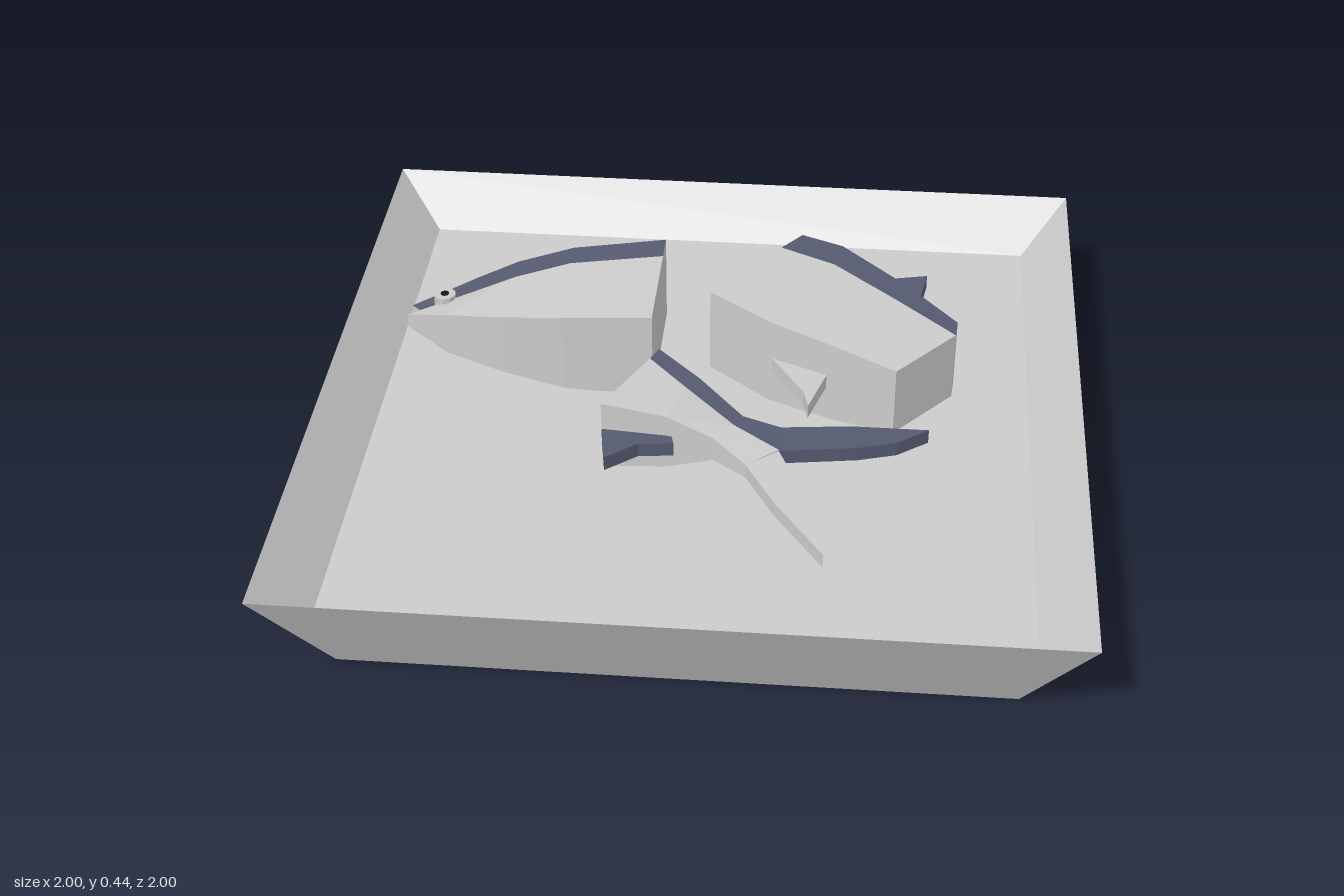
import * as THREE from 'three';

const MID = 0.3; // height of the fish's plane of symmetry
const material = (color) => new THREE.MeshStandardMaterial({ color, flatShading: true, side: THREE.DoubleSide });
const pale = material(0xcccccc);
const dark = material(0x555a70);
const black = material(0x16161a);

function mesh(name, geometry, mat) {
  const m = new THREE.Mesh(geometry, mat);
  m.name = name;
  return m;
}

// Geometry from a list of quads, each four [x, y, z] corners
function quads(list) {
  const pos = list.flatMap(([a, b, c, d]) => [a, b, c, a, c, d]).flat();
  const g = new THREE.BufferGeometry();
  g.setAttribute('position', new THREE.Float32BufferAttribute(pos, 3));
  g.computeVertexNormals();
  return g;
}

// Fish chunk lofted through stations [half thickness, back xz, stripe xz, belly xz],
// mirrored above and below the mid plane
function chunk(name, stations) {
  const rings = stations.map(([h, back, stripe, belly]) => {
    const at = ([x, z], s) => [x, MID + s * h, z];
    return [at(belly, -1), at(belly, 1), at(stripe, 1), at(back, 1), at(back, -1), at(stripe, -1)];
  });
  const light = [], navy = [];
  for (let i = 0; i < rings.length - 1; i++) {
    const p = rings[i], q = rings[i + 1];
    for (let k = 0; k < 6; k++) {
      const n = (k + 1) % 6;
      (k >= 2 && k <= 4 ? navy : light).push([p[k], q[k], q[n], p[n]]);
    }
  }
  // Cut ends
  const a = rings[0], b = rings[rings.length - 1];
  light.push([a[0], a[1], a[2], a[5]], [a[5], a[2], a[3], a[4]]);
  light.push([b[5], b[2], b[1], b[0]], [b[4], b[3], b[2], b[5]]);
  const group = new THREE.Group();
  group.name = name;
  group.add(mesh('flesh', quads(light), pale), mesh('darkBack', quads(navy), dark));
  return group;
}

// Flat fin from an outline of [x, z] points
function fin(name, outline, mat) {
  const shape = new THREE.Shape(outline.map(([x, z]) => new THREE.Vector2(x, -z)));
  const g = new THREE.ExtrudeGeometry(shape, { depth: 0.04, bevelEnabled: false });
  g.rotateX(-Math.PI / 2).translate(0, MID - 0.02, 0);
  return mesh(name, g, mat);
}

export function createModel() {
  const model = new THREE.Group();
  model.name = 'fishTray';

  // Square tray with sloping walls
  const profile = [[0, 0], [0.84, 0], [1, 0.31], [0.873, 0.18], [0, 0.18]];
  const tray = new THREE.LatheGeometry(
    profile.map(([r, y]) => new THREE.Vector2(r * Math.SQRT2, y)), 4, Math.PI / 4);
  model.add(mesh('tray', tray, pale));

  // Head, with an open mouth notch and an eye on both sides
  const head = chunk('head', [
    [0.02, [-0.83, -0.255], [-0.8, -0.23], [-0.835, -0.21]],
    [0.062, [-0.66, -0.345], [-0.66, -0.275], [-0.72, -0.155]],
    [0.09, [-0.55, -0.395], [-0.55, -0.315], [-0.56, -0.115]],
    [0.115, [-0.4, -0.44], [-0.4, -0.36], [-0.39, -0.09]],
    [0.13, [-0.145, -0.48], [-0.145, -0.395], [-0.145, -0.09]],
  ]);
  const eye = mesh('eyes', new THREE.CylinderGeometry(0.03, 0.03, 0.126, 10), pale);
  const pupil = mesh('pupils', new THREE.CylinderGeometry(0.012, 0.012, 0.13, 8), black);
  for (const part of [eye, pupil]) {
    part.position.set(-0.737, MID, -0.258);
    head.add(part);
  }
  model.add(head);

  // Middle cut with its fins
  const middle = chunk('middle', [
    [0.128, [0.235, -0.54], [0.18, -0.47], [0, -0.23]],
    [0.135, [0.35, -0.48], [0.33, -0.385], [0.17, -0.09]],
    [0.12, [0.53, -0.32], [0.5, -0.25], [0.34, -0.015]],
    [0.1, [0.67, -0.18], [0.665, -0.12], [0.51, 0.06]],
  ]);
  middle.add(
    fin('dorsalFin', [[0.35, -0.47], [0.59, -0.525], [0.565, -0.36], [0.53, -0.31]], dark),
    fin('bellyFin', [[0.17, -0.1], [0.27, 0.06], [0.285, 0.12], [0.33, -0.03]], pale));
  model.add(middle);

  // Tail cut with its fin and two lobes
  const tail = chunk('tail', [
    [0.1, [-0.115, 0.01], [-0.135, 0.055], [-0.24, 0.265]],
    [0.08, [0, 0.105], [-0.03, 0.15], [-0.07, 0.28]],
    [0.035, [0.12, 0.2], [0.1, 0.24], [0.05, 0.3]],
    [0.02, [0.22, 0.22], [0.22, 0.315], [0.14, 0.385]],
  ]);
  tail.add(
    fin('analFin', [[-0.24, 0.265], [-0.06, 0.27], [-0.05, 0.31], [-0.14, 0.32], [-0.22, 0.385]], dark),
    fin('upperTailLobe', [[0.22, 0.22], [0.4, 0.2], [0.6, 0.2], [0.52, 0.26], [0.42, 0.29], [0.22, 0.32]], dark),
    fin('lowerTailLobe', [[0.22, 0.32], [0.34, 0.6], [0.35, 0.72], [0.22, 0.53], [0.14, 0.385]], pale));
  model.add(tail);

  return model;
}
